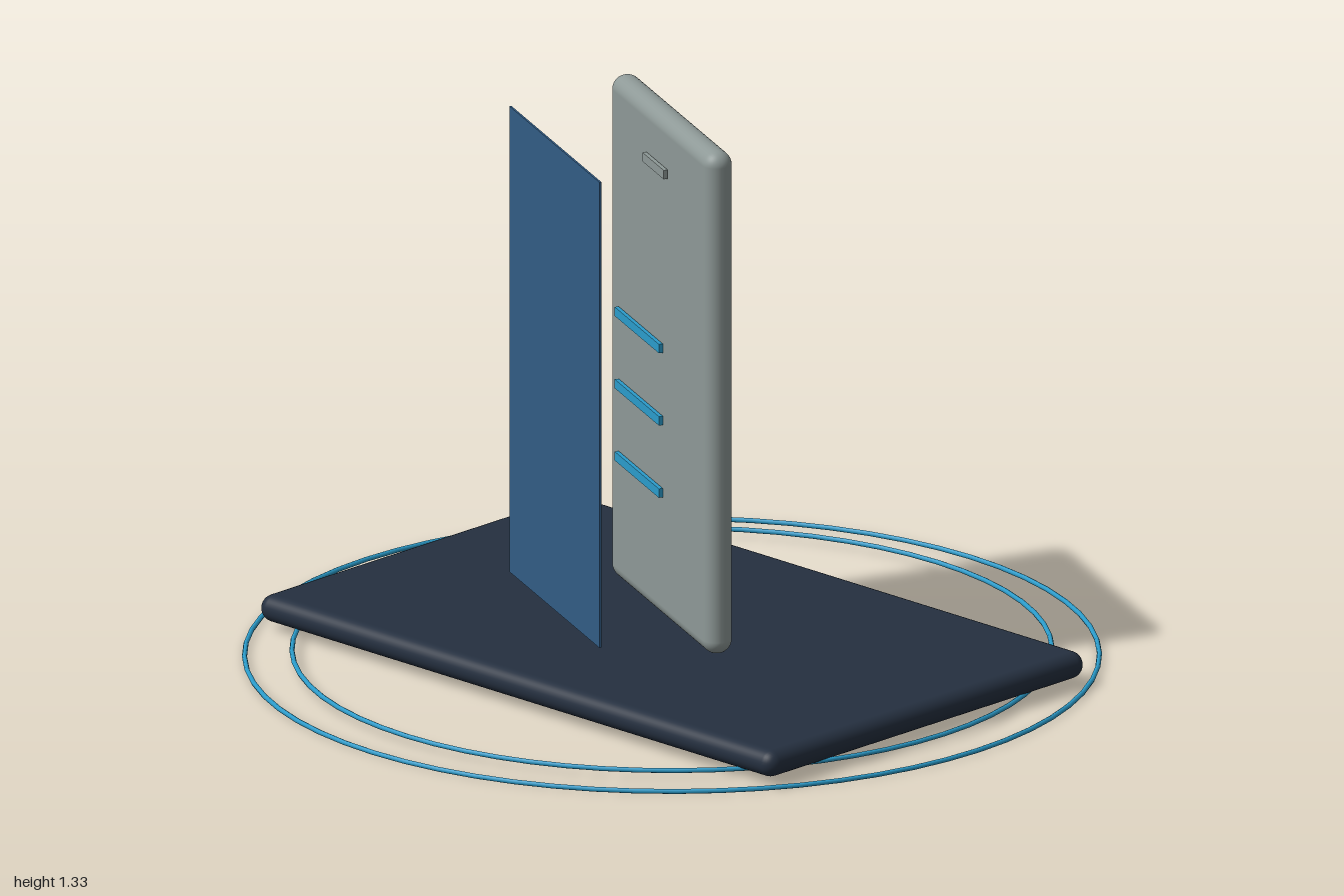
import * as THREE from 'three';
import { RoundedBoxGeometry } from 'three/addons/geometries/RoundedBoxGeometry.js';

function material(name, color) {
  const m = new THREE.MeshStandardMaterial({ color });
  m.name = name;
  return m;
}

export function createModel() {
  const slate = material('dark slate', 0x253040);
  const grey = material('warm grey', 0x8e9997);
  const blue = material('panel blue', 0x325c85);
  const cyan = material('accent cyan', 0x2b9ccb);

  const model = new THREE.Group();
  model.name = 'deviceOnStand';

  const add = (parent, name, geometry, mat, x, y, z) => {
    const mesh = new THREE.Mesh(geometry, mat);
    mesh.name = name;
    mesh.position.set(x, y, z);
    parent.add(mesh);
    return mesh;
  };

  // Floor rings, the inner one slightly higher
  for (const [name, radius, y] of [['outerRing', 0.992, 0.007], ['innerRing', 0.882, 0.021]]) {
    add(model, name, new THREE.TorusGeometry(radius, 0.006, 8, 64), cyan, 0, y, 0).rotation.x = Math.PI / 2;
  }

  // Rounded base slab
  add(model, 'base', new RoundedBoxGeometry(1.67, 0.065, 1.055, 4, 0.032), slate, 0, 0.0525, 0);

  // Upright device, turned about the vertical axis
  const device = new THREE.Group();
  device.name = 'device';
  device.rotation.y = -THREE.MathUtils.degToRad(25);
  model.add(device);
  add(device, 'deviceBody', new RoundedBoxGeometry(0.655, 1.23, 0.07, 4, 0.0345), grey, 0, 0.72, 0);
  add(device, 'topSlot', new THREE.BoxGeometry(0.14, 0.022, 0.01), grey, 0, 1.21, 0.042);

  // Accent bars on the front face
  for (const y of [0.42, 0.597, 0.774]) {
    add(device, 'accentBar', new THREE.BoxGeometry(0.29, 0.022, 0.01), cyan, -0.107, y, 0.042);
  }

  // Floating screen panel in front of the body
  add(device, 'screenPanel', new THREE.BoxGeometry(0.592, 1.14, 0.005), blue, -0.006, 0.72, 0.287);

  return model;
}
